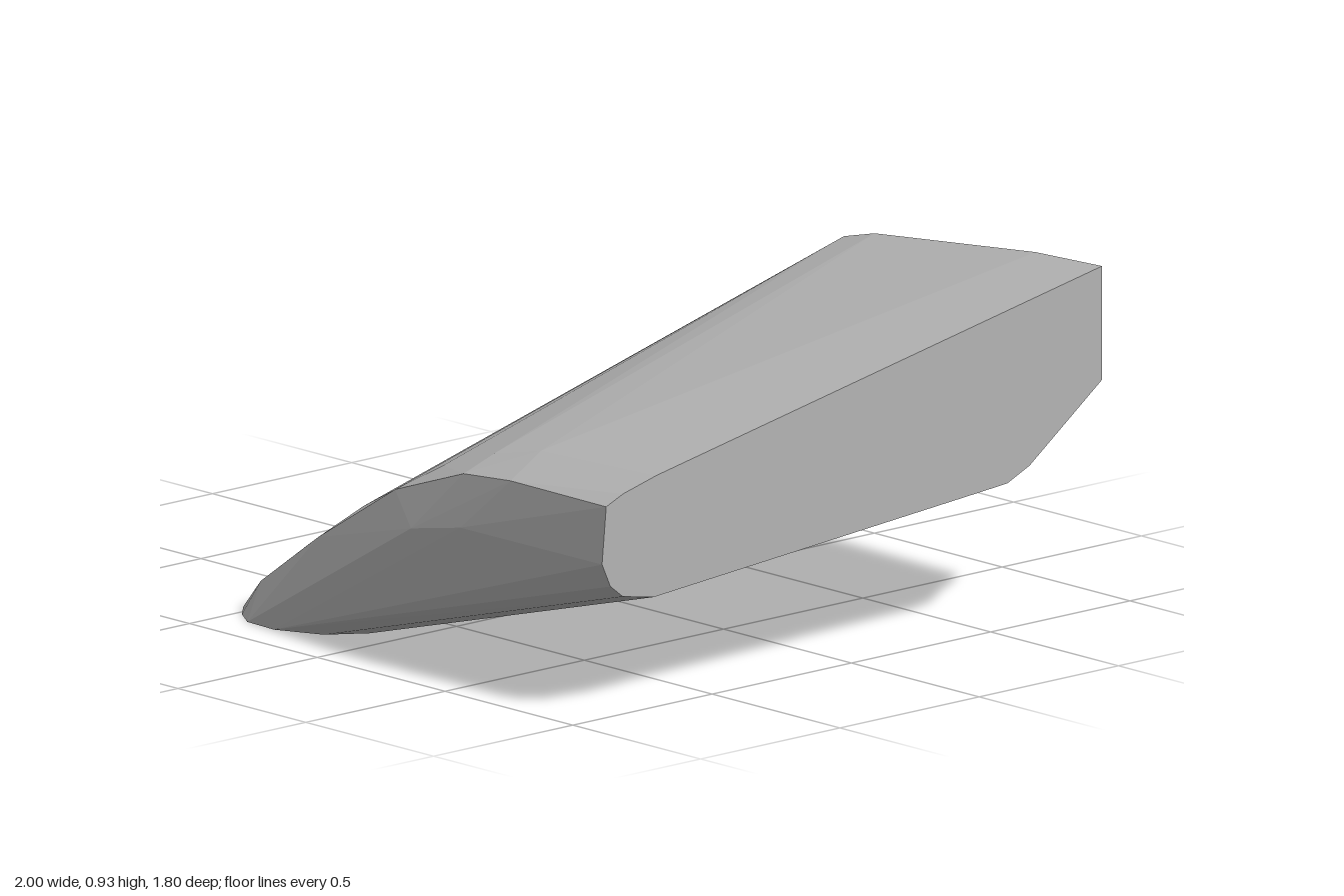
import * as THREE from 'three';
import { ConvexGeometry } from 'three/addons/geometries/ConvexGeometry.js';

export function createModel() {
  const group = new THREE.Group();
  group.name = 'wedgeBlock';
  const grey = new THREE.MeshStandardMaterial({ color: 0xb3b3b3, flatShading: true });
  grey.name = 'grey';

  // flat side at x = 1, as [z, y]
  const side = [
    [0.88, 0.575], [0.895, 0.42], [0.865, 0.355], [0.82, 0.32], [0.71, 0.3],
    [-0.43, 0.385], [-0.56, 0.395], [-0.64, 0.43], [-0.9, 0.62],
    [-0.9, 0.93], [0.7, 0.63], [0.82, 0.6],
  ].map(([z, y]) => [1, y, z]);

  // flat back at z = -0.9, as [x, y]
  const back = [
    [-0.54, 0], [-1, 0], [-0.97, 0.05], [-0.9, 0.13], [-0.1, 0.755],
    [-0.01, 0.825], [0.11, 0.855], [0.74, 0.92],
  ].map(([x, y]) => [x, y, -0.9]);

  // footprint on the ground, as [x, z]
  const foot = [
    [-0.96, -0.67], [-0.62, 0.55], [-0.54, 0.77], [-0.48, 0.83], [-0.41, 0.875],
    [-0.3, 0.88], [-0.17, 0.82], [-0.1, 0.72], [-0.29, -0.61],
  ].map(([x, z]) => [x, 0, z]);

  // rounded shoulder where the roof and slope roll over to the front
  const shoulder = [
    [0.55, 0.615, 0.7], [0.4, 0.585, 0.73], [0.2, 0.515, 0.73], [-0.19, 0.32, 0.66],
    [-0.41, 0.21, 0.5], [-0.3, 0.21, 0.76], [-0.45, 0.09, 0.79],
    [0.62, 0.575, 0.875], [0.42, 0.555, 0.86], [0.13, 0.455, 0.84], [-0.17, 0.27, 0.84],
    [0.45, 0.42, 0.9], [0.25, 0.38, 0.893],
  ];

  const points = [...side, ...back, ...foot, ...shoulder].map((p) => new THREE.Vector3(...p));
  const body = new THREE.Mesh(new ConvexGeometry(points), grey);
  body.name = 'body';
  group.add(body);
  return group;
}
